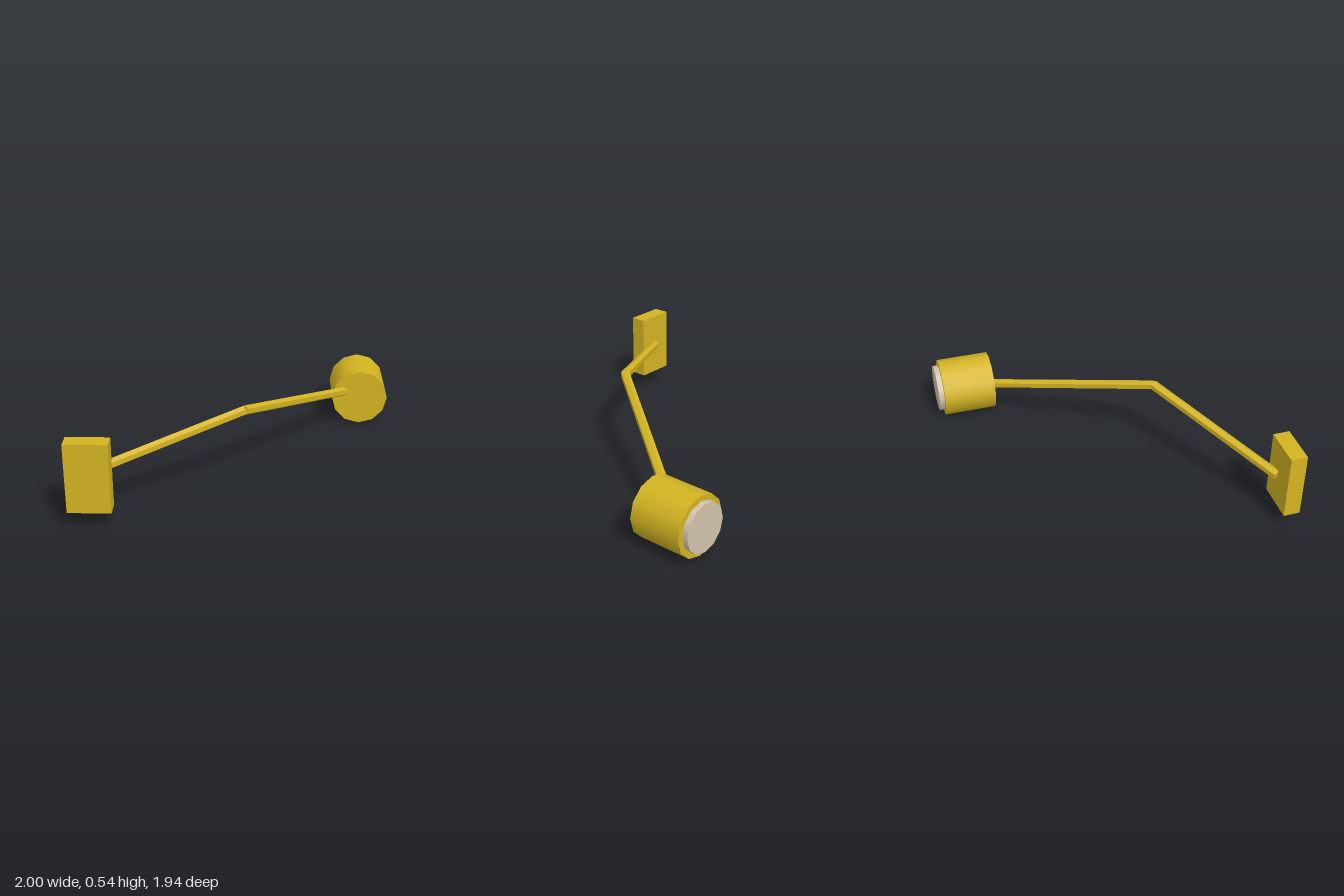
import * as THREE from 'three';

export function createModel() {
  const group = new THREE.Group();
  const gold = new THREE.MeshStandardMaterial({ color: 0xd4b422 });
  gold.name = 'gold';
  const goldFlat = gold; // one shared colour; arm facets are split in geometry
  const lensMat = new THREE.MeshStandardMaterial({ color: 0xd3c5ae });
  lensMat.name = 'pale lens';

  const add = (name, geometry, material, x, y, z) => {
    const mesh = new THREE.Mesh(geometry, material);
    mesh.name = name;
    mesh.position.set(x, y, z);
    group.add(mesh);
    return mesh;
  };

  // Hexagonal rod between two points, with one edge facing up
  const rod = (name, from, to) => {
    const dir = to.clone().sub(from);
    let geo = new THREE.CylinderGeometry(0.032, 0.032, dir.length(), 6);
    geo.rotateX(Math.PI / 2);
    geo = geo.toNonIndexed();
    geo.computeVertexNormals(); // crisp facets
    const mid = from.clone().add(to).multiplyScalar(0.5);
    add(name, geo, goldFlat, mid.x, mid.y, mid.z).lookAt(to);
  };

  // Wall mounting plate
  add('mountingPlate', new THREE.BoxGeometry(0.262, 0.44, 0.106), gold, -0.869, 0.322, 0.917);

  // Bent arm
  const joint = new THREE.Vector3(0.016, 0.497, 0.354);
  rod('rearArm', new THREE.Vector3(-0.862, 0.32, 0.858), joint);
  rod('frontArm', joint, new THREE.Vector3(0.7, 0.236, -0.6));

  // Twelve-sided lamp head with a smooth barrel, and its lens
  const drum = (name, r, z0, z1, material, x, y) => {
    const geo = new THREE.CylinderGeometry(r, r, z0 - z1, 12).rotateX(Math.PI / 2);
    add(name, geo, material, x, y, (z0 + z1) / 2);
  };
  drum('lampHead', 0.194, -0.584, -0.934, gold, 0.806, 0.195);
  drum('lens', 0.157, -0.92, -0.97, lensMat, 0.806, 0.196);

  return group;
}
